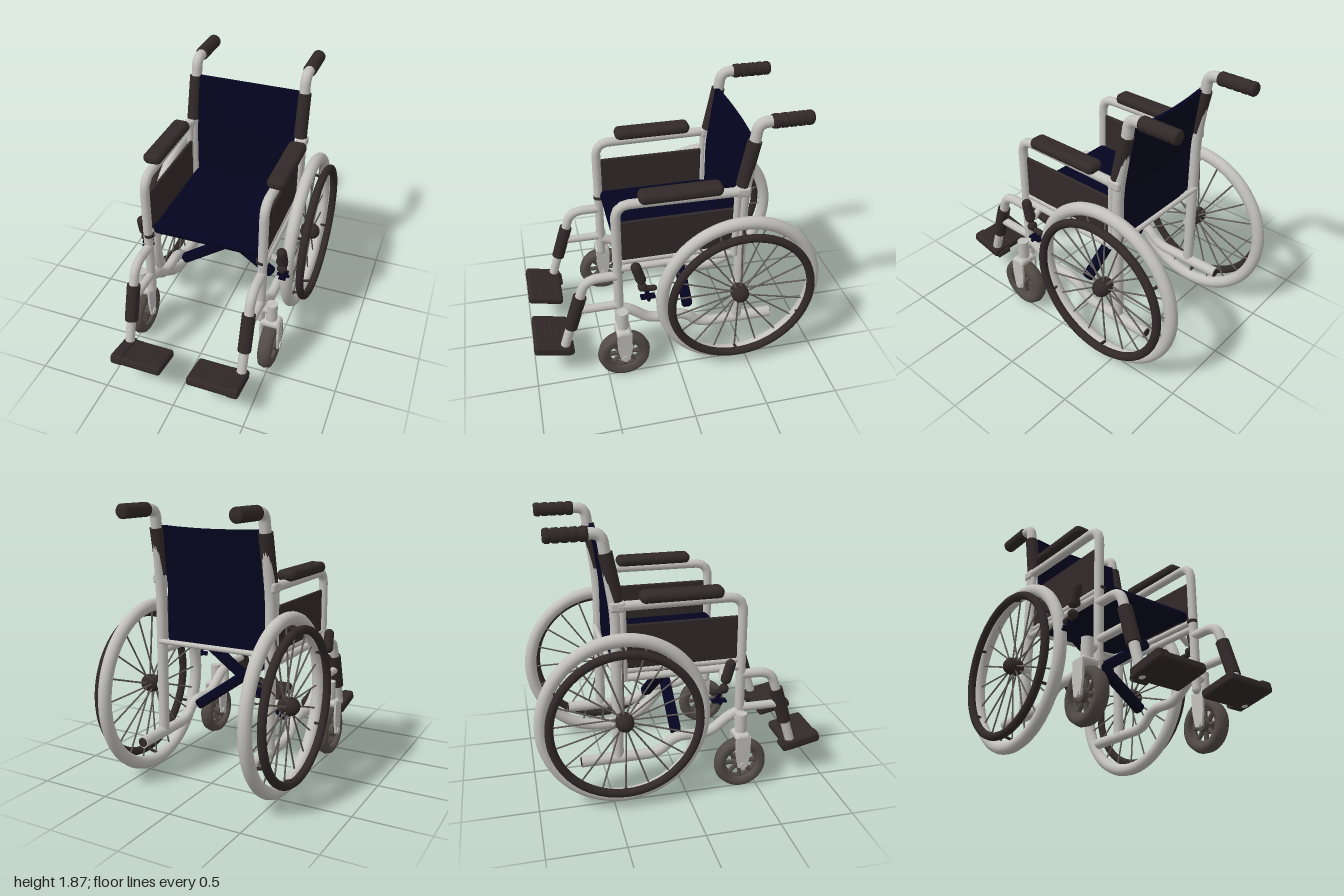
import * as THREE from 'three';
import { RoundedBoxGeometry } from 'three/addons/geometries/RoundedBoxGeometry.js';

const V = (x, y, z) => new THREE.Vector3(x, y, z);
const mat = (name, color, extra = {}) => Object.assign(new THREE.MeshStandardMaterial({ color, ...extra }), { name });

export function createModel() {
  const frame = mat('lightFrame', 0xc3c1bc);
  const brown = mat('darkBrown', 0x322929);
  const navy = mat('navyFabric', 0x040420, { side: THREE.DoubleSide });
  const spokeGrey = mat('spokeGrey', 0x645f5b);
  const casterRubber = mat('casterRubber', 0x534c46);
  const model = new THREE.Group();
  model.name = 'wheelchair';

  const add = (name, geo, material, parent = model) => {
    const m = new THREE.Mesh(geo, material);
    m.name = name;
    parent.add(m);
    return m;
  };
  // Places a y-aligned geometry between two points
  const span = (name, geo, a, b, material, parent) => {
    const m = add(name, geo, material, parent);
    m.position.copy(a).add(b).multiplyScalar(0.5);
    m.quaternion.setFromUnitVectors(V(0, 1, 0), b.clone().sub(a).normalize());
    return m;
  };
  // Straight round bar
  const rod = (name, a, b, r, material, parent = model, sides = 16) =>
    span(name, new THREE.CylinderGeometry(r, r, a.distanceTo(b), sides), a, b, material, parent);
  // Soft-ended bar
  const capsule = (name, a, b, r, material, parent = model) =>
    span(name, new THREE.CapsuleGeometry(r, Math.max(a.distanceTo(b) - 2 * r, 0.001), 6, 16), a, b, material, parent);
  // Bent tube: straight runs joined by rounded corners, closed by ball ends
  const bent = (name, pts, r, bend, material, parent) => {
    const path = new THREE.CurvePath();
    let from = pts[0];
    for (let i = 1; i < pts.length - 1; i++) {
      const p = pts[i];
      const toward = (q) => p.clone().add(q.clone().sub(p).setLength(Math.min(bend, q.distanceTo(p) * 0.48)));
      const inn = toward(pts[i - 1]), out = toward(pts[i + 1]);
      path.add(new THREE.LineCurve3(from, inn));
      path.add(new THREE.QuadraticBezierCurve3(inn, p, out));
      from = out;
    }
    path.add(new THREE.LineCurve3(from, pts[pts.length - 1]));
    add(name, new THREE.TubeGeometry(path, pts.length * 14, r, 14), material, parent);
    for (const p of [pts[0], pts[pts.length - 1]])
      add(name + 'End', new THREE.SphereGeometry(r, 14, 8), material, parent).position.copy(p);
  };
  const box = (name, w, h, d, r, pos, material, parent = model) => {
    const m = add(name, new RoundedBoxGeometry(w, h, d, 3, r), material, parent);
    m.position.copy(pos);
    return m;
  };
  const ring = (name, R, r, pos, material, parent) => {
    const m = add(name, new THREE.TorusGeometry(R, r, 14, 72), material, parent);
    m.rotation.y = Math.PI / 2;
    m.position.copy(pos);
    return m;
  };

  for (const s of [1, -1]) {
    const side = new THREE.Group();
    side.name = s > 0 ? 'leftSide' : 'rightSide';
    model.add(side);
    const P = (x, y, z) => V(x * s, y, z);

    // Large wheel
    const wheel = new THREE.Group();
    wheel.name = 'driveWheel';
    wheel.position.copy(P(0.505, 0.61, -0.42));
    side.add(wheel);
    ring('tyre', 0.54, 0.043, V(0, 0, 0), frame, wheel).scale.set(0.99, 1.03, 1);
    ring('handRim', 0.488, 0.028, P(0.085, 0, 0), brown, wheel).scale.y = 1.01;
    capsule('hub', P(-0.05, 0, 0), P(0.1, 0, 0), 0.06, brown, wheel);
    for (let i = 0; i < 20; i++) {
      const a = i / 20 * Math.PI * 2, b = a + (i % 2 ? 0.16 : -0.16);
      const x = i % 2 ? 0.03 : -0.01;
      rod('spoke', P(x, Math.sin(b) * 0.045, Math.cos(b) * 0.045),
        P(0, Math.sin(a) * 0.52, Math.cos(a) * 0.51), 0.006, spokeGrey, wheel, 6);
    }
    for (let i = 0; i < 6; i++) {
      const a = (i + 0.5) / 6 * Math.PI * 2, c = Math.cos(a), n = Math.sin(a);
      rod('rimStandoff', P(0, n * 0.515, c * 0.515), P(0.085, n * 0.49, c * 0.488), 0.01, brown, wheel, 8);
    }
    rod('axle', P(0.4, 0.61, -0.42), P(0.5, 0.61, -0.42), 0.03, frame, side);

    // Rear post with push handle
    bent('rearPost', [P(0.41, 0.29, -0.45), P(0.41, 1.3, -0.44), P(0.395, 1.7, -0.495),
      P(0.395, 1.82, -0.51), P(0.395, 1.82, -0.64)], 0.037, 0.12, frame, side);
    rod('backSleeve', P(0.402, 1.39, -0.432), P(0.397, 1.7, -0.493), 0.046, brown, side);
    const grip = [[0, -0.01], [0.04, 0], [0.047, 0.012]];
    for (let i = 0; i < 4; i++)
      grip.push([0.047, 0.045 + i * 0.055], [0.04, 0.055 + i * 0.055], [0.047, 0.065 + i * 0.055]);
    grip.push([0.047, 0.255], [0.038, 0.268], [0, 0.27]);
    const g = add('pushGrip', new THREE.LatheGeometry(grip.map(p => new THREE.Vector2(...p)), 20), brown, side);
    g.position.copy(P(0.395, 1.82, -0.592));
    g.rotation.x = -Math.PI / 2;

    // Armrest loop, pad and side panel
    bent('armrestFrame', [P(0.41, 0.42, 0.395), P(0.41, 1.36, 0.395), P(0.425, 1.36, -0.43)], 0.032, 0.1, frame, side);
    rod('armrestRearPost', P(0.42, 0.86, -0.4), P(0.42, 1.37, -0.4), 0.024, frame, side);
    box('armrestSocket', 0.07, 0.07, 0.1, 0.02, P(0.42, 1.36, -0.43), frame, side);
    // Pad outline is rounded in plan
    const padGeo = new RoundedBoxGeometry(0.13, 0.072, 0.545, 5, 0.035);
    const pp = padGeo.attributes.position;
    for (let i = 0; i < pp.count; i++) {
      const end = Math.max(0, Math.abs(pp.getZ(i)) - 0.235) / 0.0375;
      pp.setX(i, pp.getX(i) * (1 - 0.3 * end * end));
    }
    padGeo.computeVertexNormals();
    add('armrestPad', padGeo, brown, side).position.copy(P(0.428, 1.413, -0.02));
    box('sidePanel', 0.022, 0.3, 0.745, 0.01, P(0.405, 1.08, -0.008), brown, side);

    // Seat rails and lower frame
    rod('seatRail', P(0.4, 0.915, 0.38), P(0.4, 0.915, -0.45), 0.022, frame, side);
    rod('frameRail', P(0.41, 0.866, 0.395), P(0.41, 0.866, -0.45), 0.025, frame, side);
    bent('lowerFrame', [P(0.41, 0.53, 0.38), P(0.41, 0.5, 0.31), P(0.41, 0.39, 0.18), P(0.41, 0.4, -0.06),
      P(0.41, 0.285, -0.17), P(0.41, 0.285, -0.66)], 0.036, 0.09, frame, side);
    rod('lowerFrameTip', P(0.41, 0.285, -0.4), P(0.41, 0.285, -0.697), 0.039, frame, side);
    rod('lowerFrameCap', P(0.41, 0.285, -0.696), P(0.41, 0.285, -0.701), 0.032, brown, side);
    rod('postCollar', P(0.402, 0.905, 0.395), P(0.402, 0.925, 0.395), 0.036, brown, side);

    // Footrest hanger
    bent('footrestHanger', [P(0.41, 0.81, 0.4), P(0.41, 0.81, 0.61), P(0.41, 0.66, 0.66), P(0.41, 0.22, 0.795)],
      0.033, 0.1, frame, side);
    rod('hangerBrace', P(0.41, 0.56, 0.4), P(0.41, 0.56, 0.68), 0.029, frame, side);
    rod('hangerSleeve', P(0.41, 0.675, 0.655), P(0.41, 0.42, 0.733), 0.046, brown, side);

    // Tilted footplate with tread ridges
    const foot = new THREE.Group();
    foot.name = 'footrest';
    foot.position.copy(P(0.275, 0.245, 0.868));
    foot.rotation.x = -0.22;
    side.add(foot);
    box('footplate', 0.365, 0.062, 0.255, 0.022, V(0, 0, 0), brown, foot);
    box('footplateHinge', 0.09, 0.075, 0.26, 0.022, P(0.137, 0.004, 0), brown, foot);
    for (let i = 0; i < 5; i++)
      box('treadRidge', 0.22, 0.008, 0.016, 0.003, P(-0.04, 0.031, -0.08 + i * 0.04), brown, foot);
    rod('hingePin', P(0.06, -0.01, -0.125), P(0.16, -0.01, -0.125), 0.027, brown, foot);

    // Caster: stem, fork and small wheel
    const cx = 0.487, cz = 0.385;
    rod('casterStem', P(cx, 0.38, cz), P(cx, 0.555, cz), 0.04, frame, side);
    rod('stemBracket', P(0.41, 0.5, cz), P(cx, 0.5, cz), 0.035, frame, side);
    box('forkCrown', 0.14, 0.055, 0.105, 0.026, P(cx, 0.395, cz), frame, side);
    // Fork arm: broad at the crown, narrowing to the axle
    const arm = new THREE.Shape([[-0.052, 0.4], [-0.05, 0.27], [-0.032, 0.17], [0.032, 0.17], [0.05, 0.27], [0.052, 0.4]]
      .map(p => new THREE.Vector2(...p)));
    for (const e of [-1, 1]) {
      const m = add('forkArm', new THREE.ExtrudeGeometry(arm, { depth: 0.016, bevelEnabled: false }), frame, side);
      m.rotation.y = Math.PI / 2;
      m.position.set((cx + e * 0.062) * s - 0.008, 0, cz);
      rod('casterBolt', P(cx + e * 0.055, 0.185, cz), P(cx + e * 0.078, 0.185, cz), 0.024, frame, side);
    }
    const caster = new THREE.Group();
    caster.name = 'casterWheel';
    caster.position.copy(P(cx, 0.185, cz));
    side.add(caster);
    const tyre = [[0.115, -0.035], [0.145, -0.05], [0.172, -0.038], [0.184, 0], [0.172, 0.038], [0.145, 0.05],
      [0.115, 0.035], [0.115, -0.035]];
    add('casterTyre', new THREE.LatheGeometry(tyre.map(p => new THREE.Vector2(...p)), 40), casterRubber, caster)
      .rotation.z = Math.PI / 2;
    ring('casterRim', 0.113, 0.014, V(0, 0, 0), casterRubber, caster);
    rod('casterHub', V(-0.05, 0, 0), V(0.05, 0, 0), 0.045, casterRubber, caster);
    for (let i = 0; i < 8; i++) {
      const a = i / 8 * Math.PI * 2;
      rod('casterSpoke', V(0, 0, 0), V(0, Math.sin(a) * 0.115, Math.cos(a) * 0.115), 0.016, casterRubber, caster, 8);
    }

    // Brake lever with its knuckles, link and shoe
    capsule('brakeLever', P(0.505, 0.965, 0.3), P(0.515, 0.8, 0.25), 0.034, brown, side);
    capsule('brakeJoint', P(0.465, 0.84, 0.265), P(0.54, 0.84, 0.265), 0.034, brown, side);
    capsule('brakeKnuckle', P(0.47, 0.765, 0.25), P(0.54, 0.765, 0.25), 0.03, brown, side);
    capsule('brakeLink', P(0.505, 0.75, 0.275), P(0.505, 0.74, 0.15), 0.02, brown, side);
    rod('brakeMount', P(0.41, 0.866, 0.26), P(0.49, 0.82, 0.25), 0.022, frame, side);
    rod('brakeStem', P(0.51, 0.74, 0.215), P(0.51, 0.68, 0.215), 0.012, navy, side);
    rod('brakeShoe', P(0.465, 0.68, 0.215), P(0.55, 0.68, 0.215), 0.012, navy, side);
    box('brakePad', 0.05, 0.016, 0.1, 0.006, P(0.51, 0.68, 0.215), navy, side);

    // Folding cross bar, one per side
    const bar = box('crossBar', 0.845, 0.072, 0.072, 0.022, V(0, 0.633, -0.07 + s * 0.036), navy, side);
    bar.rotation.z = s * 0.62;
  }
  rod('rearCrossTube', V(-0.41, 0.935, -0.47), V(0.41, 0.935, -0.47), 0.018, frame);

  // Seat sling, sagging slightly in the middle
  const seat = new RoundedBoxGeometry(0.75, 0.07, 0.79, 6, 0.03);
  const sp = seat.attributes.position;
  for (let i = 0; i < sp.count; i++) {
    const u = sp.getX(i) / 0.375;
    sp.setY(i, sp.getY(i) + 0.006 * u * u);
  }
  seat.computeVertexNormals();
  add('seat', seat, navy).position.set(0, 0.951, -0.02);
  capsule('seatFrontHem', V(-0.385, 0.955, 0.35), V(0.385, 0.955, 0.35), 0.038, navy);

  // Backrest sling, leaning and bowed to the rear
  const back = new THREE.BoxGeometry(0.72, 0.78, 0.03, 20, 10, 1);
  const bp = back.attributes.position;
  for (let i = 0; i < bp.count; i++) {
    const u = bp.getX(i) / 0.36, y = bp.getY(i) + 1.325;
    const lean = y > 1.3 ? -0.13 * (y - 1.3) : 0;
    bp.setXYZ(i, bp.getX(i), y - (y > 1.6 ? 0.01 * (1 - u * u) : 0), bp.getZ(i) - 0.42 + lean - 0.02 * (1 - u * u));
  }
  back.computeVertexNormals();
  add('backrest', back, navy);

  return model;
}
